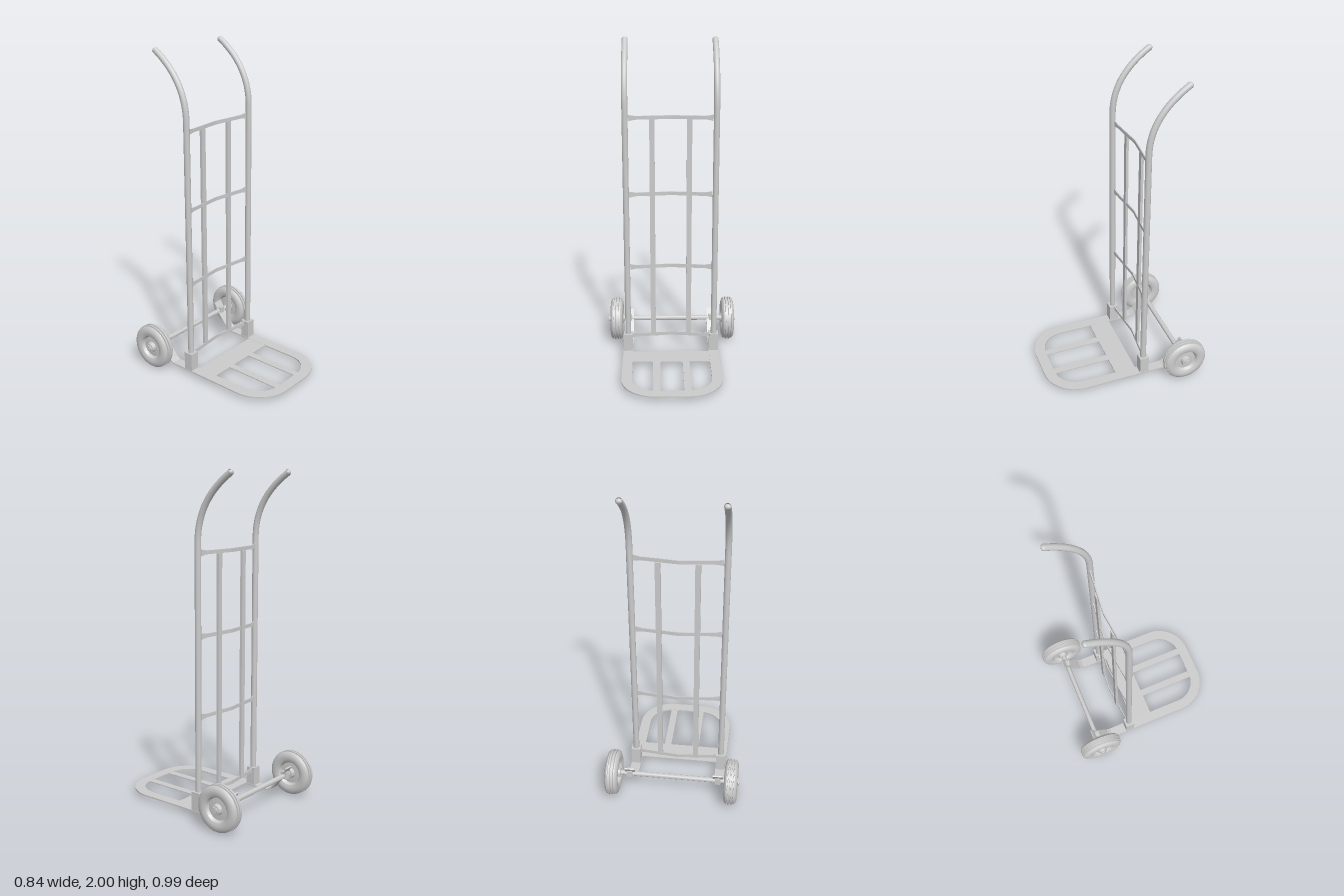
import * as THREE from 'three';
import { toCreasedNormals } from 'three/addons/utils/BufferGeometryUtils.js';

const material = new THREE.MeshStandardMaterial({ color: 0xcccccc, side: THREE.DoubleSide });
const CX = -0.011; // centre line of the frame
const RAIL = 0.274; // rail distance from the centre line
const AXLE = { y: 0.14, z: -0.355 };

function add(parent, name, geometry, x = 0, y = 0, z = 0) {
  const mesh = new THREE.Mesh(geometry, material);
  mesh.name = name;
  mesh.position.set(x, y, z);
  parent.add(mesh);
  return mesh;
}
const box = (w, h, d) => new THREE.BoxGeometry(w, h, d);
const rodX = (r, length, sides = 16) =>
  toCreasedNormals(new THREE.CylinderGeometry(r, r, length, sides).rotateZ(Math.PI / 2), 0.7);

// Straight tube that sweeps back into a handle, capped at the tip
function rail(parent, x) {
  const path = new THREE.CurvePath();
  const v = (y, z) => new THREE.Vector3(0, y, z);
  path.add(new THREE.LineCurve3(v(0.04, -0.115), v(1.6, -0.115)));
  path.add(new THREE.CubicBezierCurve3(v(1.6, -0.115), v(1.77, -0.115), v(1.89, -0.2), v(1.983, -0.345)));
  add(parent, 'rail', new THREE.TubeGeometry(path, 70, 0.0185, 14), x);
  const cap = add(parent, 'handleTip', new THREE.SphereGeometry(0.0183, 14, 8), x, 1.981, -0.342);
  cap.scale.set(1, 0.8, 0.8);
}

// U-shaped toe plate with a rounded front, cut from flat sheet
function toeFrame() {
  const trace = (path, w, straight, front, corner) => {
    path.moveTo(-w, -0.15);
    path.lineTo(-w, straight);
    path.absellipse(-w + corner, straight, corner, front - straight, Math.PI, Math.PI / 2, true);
    path.lineTo(w - corner, front);
    path.absellipse(w - corner, straight, corner, front - straight, Math.PI / 2, 0, true);
    path.lineTo(w, -0.15);
    return path;
  };
  const shape = trace(new THREE.Shape(), 0.305, 0.28, 0.49, 0.21);
  const inner = trace(new THREE.Path(), 0.242, 0.28, 0.424, 0.145).getPoints(6).reverse();
  inner.forEach((p) => shape.lineTo(p.x, p.y));
  const g = new THREE.ExtrudeGeometry(shape, { depth: 0.008, bevelEnabled: false, curveSegments: 6 });
  return g.rotateX(Math.PI / 2);
}

// Flat arm that runs back from the toe plate and bends up to the axle
function axleArm() {
  const t = 0.008;
  const line = [[-0.14, 0.026], [-0.245, 0.026], [-0.275, 0.044], [-0.34, 0.122], [-0.385, 0.195]];
  const top = line.map(([z, y], i) => [z + (i > 1 ? t * 0.8 : 0), y + (i > 1 ? t * 0.6 : t)]);
  const shape = new THREE.Shape([...line, ...top.reverse()].map(([z, y]) => new THREE.Vector2(-z, y)));
  const g = new THREE.ExtrudeGeometry(shape, { depth: 0.062, bevelEnabled: false });
  return g.translate(0, 0, -0.031).rotateY(Math.PI / 2);
}

// Thin strip bowed backwards, flaring at the rails
function crossbar() {
  const g = box(0.51, 1, 0.006, 24, 1, 1);
  const bar = new THREE.BoxGeometry(0.51, 1, 0.006, 24, 1, 1);
  g.dispose();
  const p = bar.attributes.position;
  for (let i = 0; i < p.count; i++) {
    const u = Math.abs(p.getX(i)) / 0.255;
    const height = 0.022 + 0.016 * THREE.MathUtils.smoothstep(u, 0.86, 0.98);
    p.setY(i, p.getY(i) * height);
    p.setZ(i, p.getZ(i) - 0.148 + 0.026 * u);
  }
  return toCreasedNormals(bar, 0.5);
}

// Grooved tyre, dished rim and hub in one turned profile (radius, offset)
function wheelGeometry() {
  const side = [[0.012, 0.044], [0.028, 0.042], [0.032, 0.018], [0.066, 0.016], [0.076, 0.034], [0.092, 0.041],
    [0.112, 0.04], [0.128, 0.034], [0.136, 0.025], [0.136, 0.02], [0.126, 0.019], [0.126, 0.015],
    [0.14, 0.014], [0.14, 0.005], [0.128, 0.004]];
  const profile = [...side.map(([r, o]) => [r, -o]), ...side.slice().reverse()];
  const g = new THREE.LatheGeometry(profile.map(([r, o]) => new THREE.Vector2(r, o)), 28);
  return toCreasedNormals(g.rotateZ(-Math.PI / 2), 0.6);
}

export function createModel() {
  const model = new THREE.Group();
  model.name = 'handTruck';

  // Toe plate, its wide cross plate and two bars
  const toe = new THREE.Group();
  toe.name = 'toePlate';
  model.add(toe);
  add(toe, 'toeFrame', toeFrame(), CX, 0.034, 0);
  add(toe, 'crossPlate', box(0.49, 0.006, 0.136), CX, 0.03, -0.007);
  for (const s of [-1, 1]) add(toe, 'toeBar', box(0.044, 0.006, 0.37), CX + s * 0.092, 0.03, 0.242);

  // Rails with sockets, axle arms and axle clamps
  for (const s of [-1, 1]) {
    const x = CX + s * RAIL;
    rail(model, x);
    add(model, 'railSocket', box(0.058, 0.118, 0.058), x, 0.088, -0.115);
    add(model, 'axleArm', axleArm(), x);
    add(model, 'axleClamp', box(0.034, 0.045, 0.04), x, AXLE.y + 0.005, AXLE.z);
  }

  // Back rest
  for (const y of [0.128, 0.597, 1.07, 1.543]) add(model, 'crossbar', crossbar(), CX, y, 0);
  for (const s of [-1, 1]) add(model, 'backSlat', box(0.032, 1.41, 0.016), CX + s * 0.113, 0.828, -0.141);

  // Axle and wheels
  add(model, 'axle', rodX(0.0155, 0.66), 0, AXLE.y, AXLE.z);
  const wheel = wheelGeometry();
  for (const s of [-1, 1]) {
    const group = new THREE.Group();
    group.name = s > 0 ? 'leftWheel' : 'rightWheel';
    group.position.set(s * 0.367, AXLE.y, AXLE.z);
    model.add(group);
    add(group, 'tyreAndRim', wheel);
    add(group, 'axleEnd', rodX(0.012, 0.1), s * 0.004);
    add(group, 'axleNut', rodX(0.02, 0.008, 6), s * 0.047);
  }
  return model;
}
